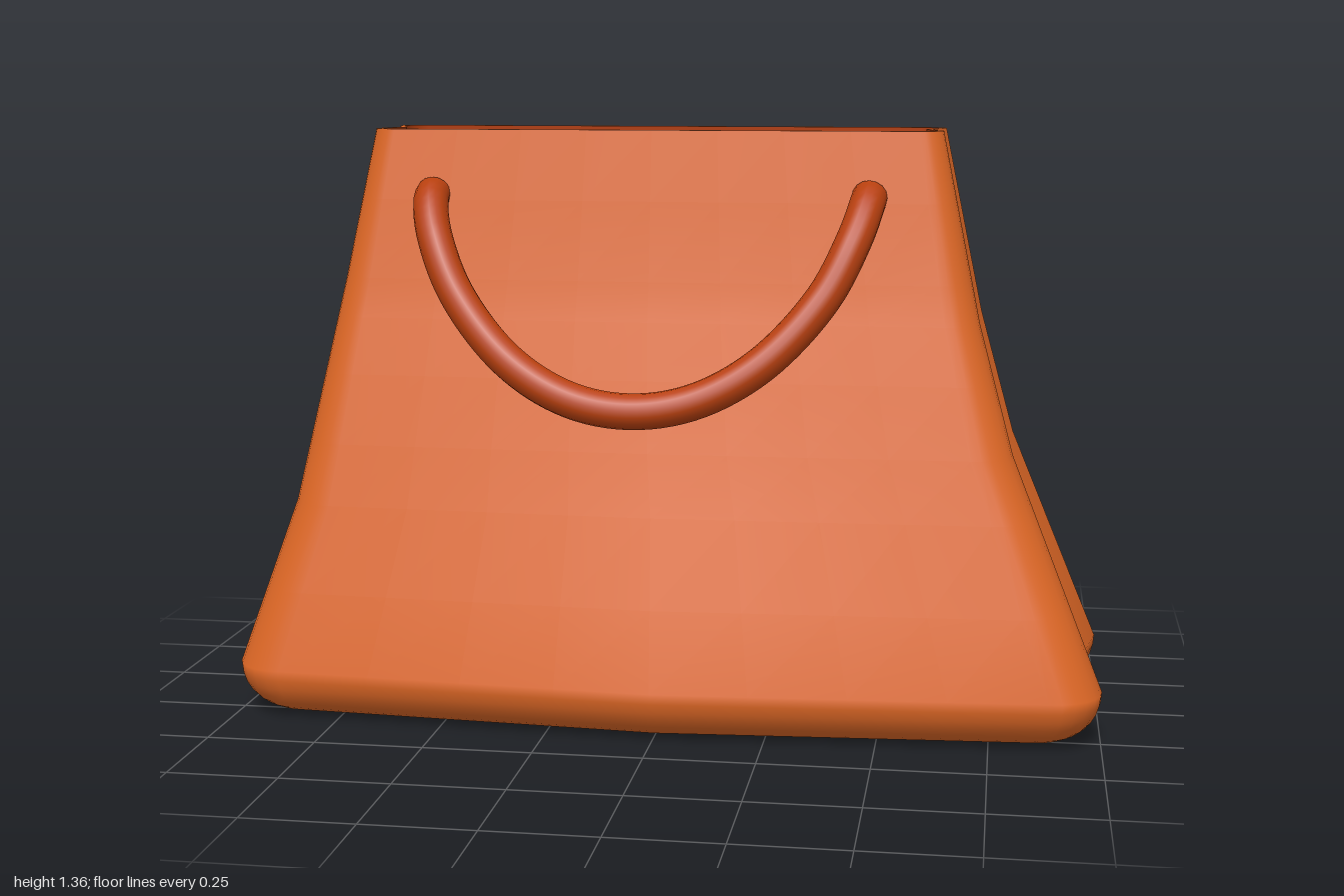
import * as THREE from 'three';

// Piecewise-linear lookup: rows are [height, value]
function at(rows, y) {
  if (y <= rows[0][0]) return rows[0][1];
  for (let i = 1; i < rows.length; i++) {
    const [y0, v0] = rows[i - 1], [y1, v1] = rows[i];
    if (y <= y1) return v0 + (v1 - v0) * (y - y0) / (y1 - y0);
  }
  return rows[rows.length - 1][1];
}

const ROUND = 0.12, TOP = 1.36;
const RIGHT = [[ROUND, 1], [0.64, 0.79], [0.93, 0.71], [TOP, 0.62]];
const LEFT = [[ROUND, 1], [0.5, 0.87], [1.02, 0.76], [TOP, 0.69]];
const FRONT = [[ROUND, 0.365], [1.02, 0.195], [TOP, 0.15]];
const BACK = [[ROUND, 0.375], [0.64, 0.245], [TOP, 0.155]];
const BULGE = [[ROUND, 0.055], [0.64, 0.015], [1.02, 0.003], [TOP, 0]];
const PINCH = [[ROUND, 0.048], [TOP, 0.032]];
const CORNER = [[ROUND, 0.12], [TOP, 0.055]];

// Cross-section: rounded corners, bulging front and back, pinched sides
function section(y, inset = 0) {
  const pts = [];
  const bulge = at(BULGE, y), pinch = at(PINCH, y);
  const r = Math.max(at(CORNER, y) - inset * 0.6, 0.03);
  const sideX = { 1: at(RIGHT, y) - inset, '-1': at(LEFT, y) - inset };
  const sideZ = { 1: at(FRONT, y) - inset, '-1': at(BACK, y) - inset };
  const add = (x, z) => pts.push([x, y, z]);
  const corner = (sx, sz, start) => {
    for (let i = 0; i <= 6; i++) {
      const a = start + i / 6 * Math.PI / 2;
      add(sx * (sideX[sx] - r) + r * Math.cos(a), sz * (sideZ[sz] - r) + r * Math.sin(a));
    }
  };
  const longSide = (sz) => {
    const x0 = sz * (sideX[sz] - r), x1 = -sz * (sideX[-sz] - r);
    for (let i = 1; i < 8; i++) {
      const t = i / 8;
      add(x0 + (x1 - x0) * t, sz * (sideZ[sz] + bulge * (1 - Math.abs(2 * t - 1))));
    }
  };
  const sidePinch = (sx) => {
    for (const t of [-0.6, -0.15, 0, 0.15, 0.6]) {
      const z = sx * t * (sideZ[1] - r);
      add(sx * (sideX[sx] - pinch * (1 - Math.max(Math.abs(t), 0.08))), z);
    }
  };
  sidePinch(1);
  corner(1, 1, 0);
  longSide(1);
  corner(-1, 1, Math.PI / 2);
  sidePinch(-1);
  corner(-1, -1, Math.PI);
  longSide(-1);
  corner(1, -1, Math.PI * 1.5);
  return pts;
}

// Skin over a list of closed rings
function loft(rings) {
  const n = rings[0].length, index = [];
  for (let i = 0; i < rings.length - 1; i++) {
    for (let j = 0; j < n; j++) {
      const k = (j + 1) % n;
      const a = i * n + j, b = i * n + k, c = a + n, d = b + n;
      index.push(a, c, b, b, c, d);
    }
  }
  const g = new THREE.BufferGeometry();
  g.setAttribute('position', new THREE.Float32BufferAttribute(rings.flat(2), 3));
  g.setIndex(index);
  g.computeVertexNormals();
  return g;
}

const flatCentre = (ring, y) => ring.map(() => [0, y, 0]);

export function createModel() {
  const group = new THREE.Group();
  group.name = 'handbag';
  const leather = new THREE.MeshStandardMaterial({ color: 0xdf6826 });
  leather.name = 'orange leather';
  const trim = new THREE.MeshStandardMaterial({ color: 0xb8400f });
  trim.name = 'dark orange trim';
  const add = (name, geometry, material) => {
    const mesh = new THREE.Mesh(geometry, material);
    mesh.name = name;
    group.add(mesh);
    return mesh;
  };

  // Outer shell: flat base, rounded lower edge, tapering walls
  const shell = [];
  for (let i = 0; i <= 8; i++) {
    const a = i / 8 * Math.PI / 2;
    const y = ROUND * (1 - Math.cos(a));
    shell.push(section(y, ROUND * (1 - Math.sin(a))).map(([x, , z]) => [x, y, z]));
  }
  shell.unshift(flatCentre(shell[0], 0));
  const levels = [0.3, 0.5, 0.64, 0.8, 0.93, 1.02, 1.2, TOP];
  for (const y of levels) shell.push(section(y));
  add('bagBody', loft(shell), leather);

  // Thin lip around the opening
  const wall = 0.014;
  add('rim', loft([section(TOP), section(TOP, wall)]), leather);

  // Inner walls, running down from the lip
  const inner = [...levels].reverse().concat(0.12).map((y) => section(y, wall));
  add('liningWalls', loft(inner), trim);
  const floor = inner[inner.length - 1];
  add('liningFloor', loft([floor, flatCentre(floor, 0.12)]), trim);

  // Hanging handles, one on each broad face; half path given from end to middle
  const half = [
    [0.5, 1.215, 0.166], [0.497, 1.2, 0.205], [0.475, 1.13, 0.265],
    [0.41, 1.0, 0.325], [0.28, 0.86, 0.388], [0.14, 0.783, 0.421]
  ];
  const middle = -0.04;
  for (const side of [1, -1]) {
    const path = [
      ...half.map(([x, y, z]) => new THREE.Vector3(middle - x, y, side * z)),
      new THREE.Vector3(middle, 0.76, side * 0.432),
      ...[...half].reverse().map(([x, y, z]) => new THREE.Vector3(middle + x, y, side * z))
    ];
    const curve = new THREE.CatmullRomCurve3(path);
    const handle = add(side > 0 ? 'frontHandle' : 'backHandle',
      new THREE.TubeGeometry(curve, 72, 0.04, 16), trim);
    handle.position.z = -0.004;
  }
  return group;
}
